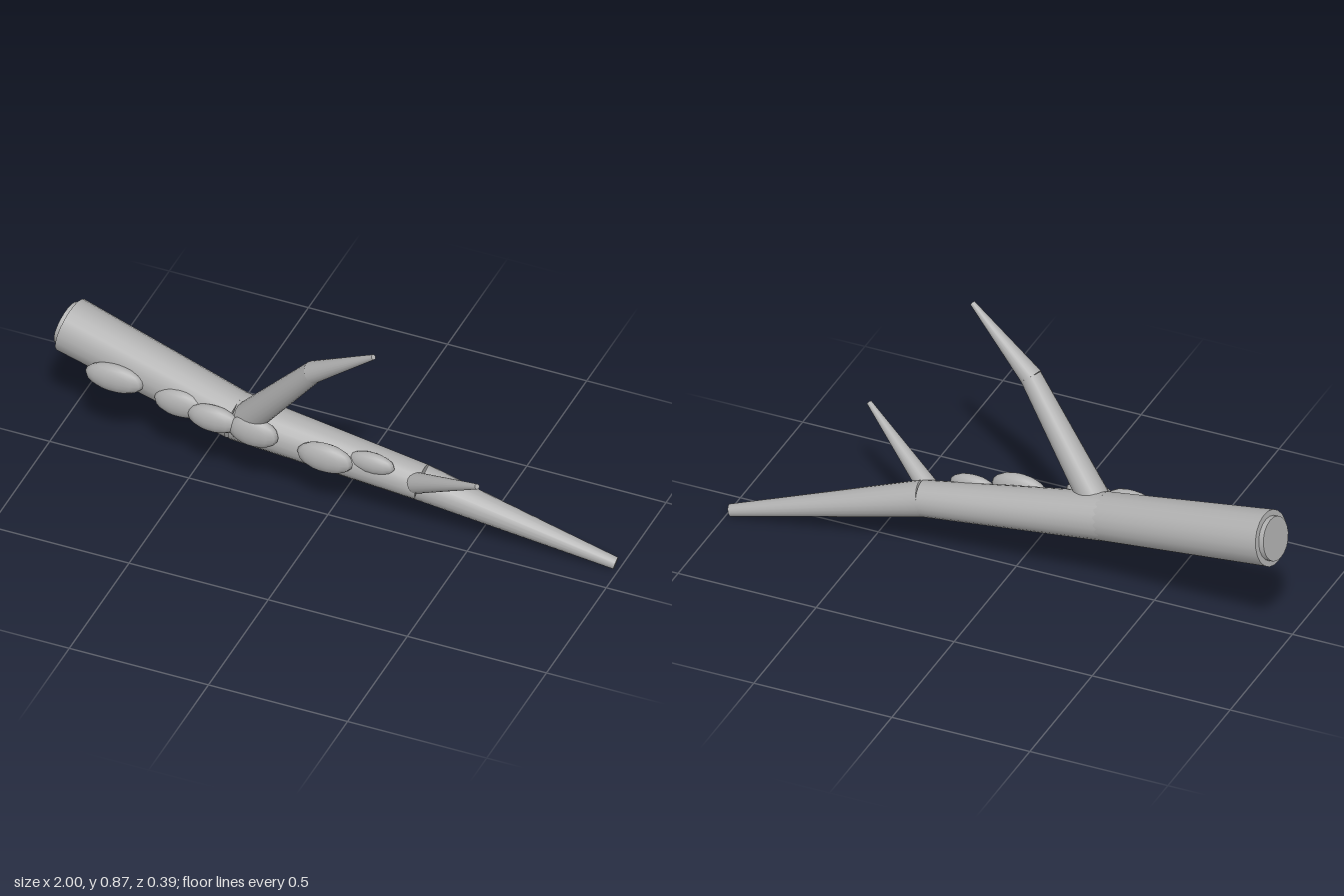
import * as THREE from 'three';

const V = (x, y, z) => new THREE.Vector3(x, y, z);

export function createModel() {
  const group = new THREE.Group();
  const wood = new THREE.MeshStandardMaterial({ color: 0xb0b0b0 });
  wood.name = 'grey wood';

  // Tapered limb running from a to b
  function limb(name, a, b, ra, rb) {
    const dir = b.clone().sub(a);
    const mesh = new THREE.Mesh(new THREE.CylinderGeometry(rb, ra, dir.length(), 20), wood);
    mesh.position.copy(a).add(b).multiplyScalar(0.5);
    mesh.quaternion.setFromUnitVectors(V(0, 1, 0), dir.normalize());
    mesh.name = name;
    group.add(mesh);
  }

  // Trunk, in three bends
  const butt = V(-0.967, 0.434, -0.097);
  const bend1 = V(-0.333, 0.303, -0.02);
  const bend2 = V(0.32, 0.21, -0.04);
  const tip = V(0.987, 0.025, -0.11);
  limb('trunkThick', butt, bend1, 0.096, 0.083);
  limb('trunkMiddle', bend1, bend2, 0.083, 0.062);
  limb('trunkTip', bend2, tip, 0.062, 0.021);

  // Raised cut face on the thick end
  const out = butt.clone().sub(bend1).normalize();
  limb('cutEnd', butt.clone().addScaledVector(out, -0.02),
    butt.clone().addScaledVector(out, 0.018), 0.076, 0.076);

  // Large bent side branch
  const elbow = V(0.0, 0.685, 0.115);
  limb('branchLower', V(-0.28, 0.335, 0.01), elbow, 0.054, 0.037);
  limb('branchUpper', V(-0.005, 0.68, 0.115), V(0.243, 0.868, 0.185), 0.038, 0.009);

  // Small side branch
  limb('twig', V(0.315, 0.23, -0.005), V(0.597, 0.405, 0.142), 0.036, 0.009);

  // Flat oval growths along the front: x, y, z, rx, ry, rz
  const growths = [
    [-0.755, 0.365, 0.028, 0.105, 0.053, 0.034],
    [-0.52, 0.335, 0.033, 0.09, 0.052, 0.032],
    [-0.39, 0.325, 0.053, 0.092, 0.05, 0.034],
    [-0.245, 0.315, 0.054, 0.09, 0.057, 0.034],
    [0.01, 0.28, 0.048, 0.1, 0.055, 0.034],
    [0.16, 0.275, 0.008, 0.083, 0.04, 0.028],
  ];
  for (const [x, y, z, rx, ry, rz] of growths) {
    const mesh = new THREE.Mesh(new THREE.SphereGeometry(1, 14, 10), wood);
    mesh.scale.set(rx, ry, rz);
    mesh.position.set(x, y, z);
    mesh.name = 'growth';
    group.add(mesh);
  }

  return group;
}
